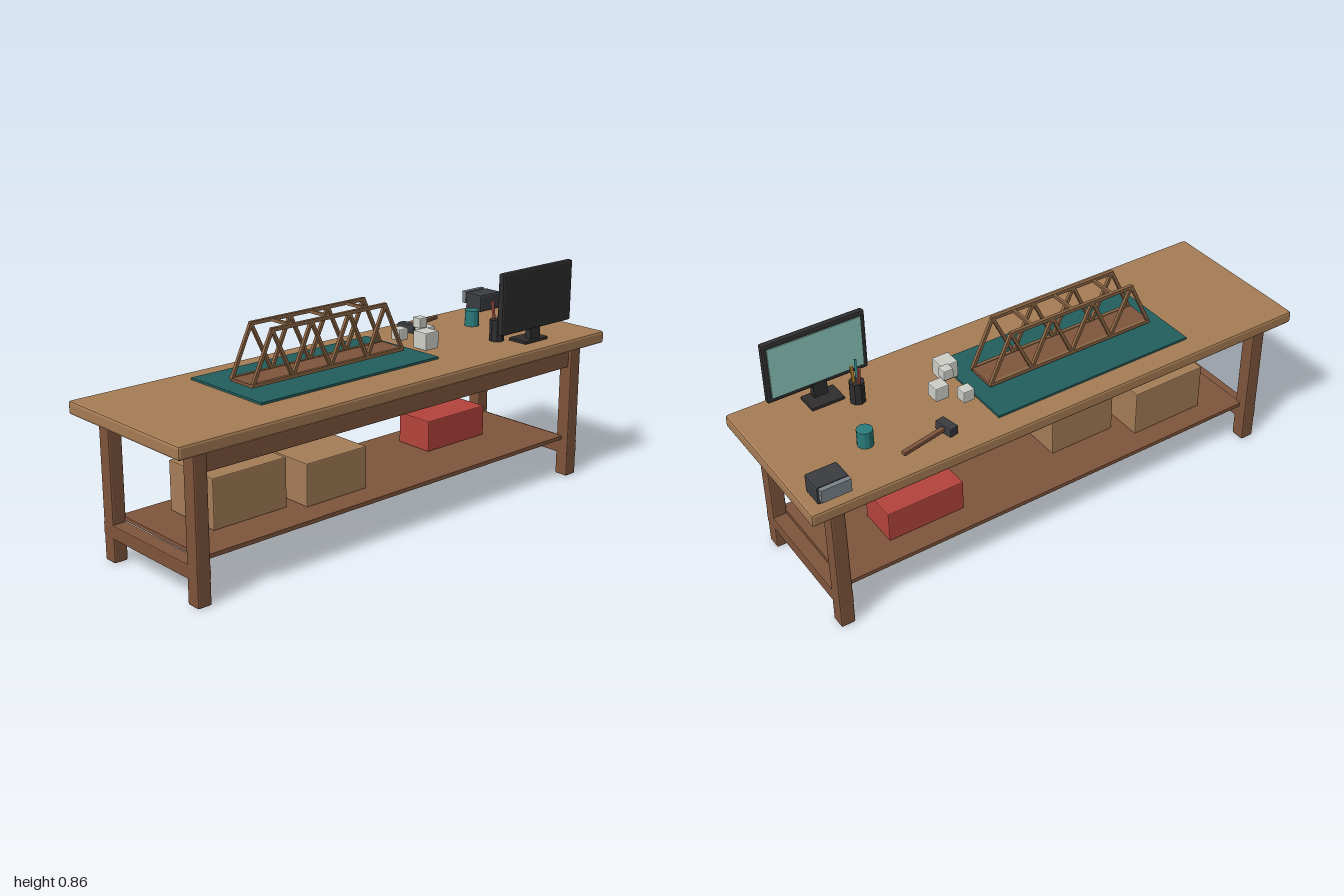
import * as THREE from 'three';
import { RoundedBoxGeometry } from 'three/addons/geometries/RoundedBoxGeometry.js';

const mat = (color) => new THREE.MeshStandardMaterial({ color, flatShading: true });
const M = {
  top: mat(0xa67c55), wood: mat(0x7f553c), mat: mat(0x235f5e), card: mat(0xa57d58),
  red: mat(0xb5443c), dark: mat(0x2f2d2d), charcoal: mat(0x3a3c40), screen: mat(0x8fc9bf),
  teal: mat(0x2a7c7c), white: mat(0xd0d0ca), truss: mat(0x8a6443), yellow: mat(0xc9922e),
  rust: mat(0xb0564a), grey: mat(0x7a8288),
};

export function createModel() {
  const model = new THREE.Group();
  model.name = 'workbench';

  function group(name) {
    const g = new THREE.Group();
    g.name = name;
    model.add(g);
    return g;
  }
  function add(parent, name, geometry, material) {
    const m = new THREE.Mesh(geometry, material);
    m.name = name;
    parent.add(m);
    return m;
  }
  // Box from its min and max corners, with an optional chamfer
  function box(parent, name, material, [x0, y0, z0], [x1, y1, z1], chamfer = 0) {
    const s = [x1 - x0, y1 - y0, z1 - z0];
    const geo = chamfer ? new RoundedBoxGeometry(...s, 1, chamfer) : new THREE.BoxGeometry(...s);
    const m = add(parent, name, geo, material);
    m.position.set((x0 + x1) / 2, (y0 + y1) / 2, (z0 + z1) / 2);
    return m;
  }
  // Square bar running between two points
  function bar(parent, name, material, a, b, t) {
    const p = new THREE.Vector3(...a), q = new THREE.Vector3(...b);
    const m = add(parent, name, new THREE.BoxGeometry(t, t, p.distanceTo(q) + t * 0.6), material);
    m.position.copy(p).add(q).multiplyScalar(0.5);
    m.lookAt(q);
    return m;
  }

  // Table
  const table = group('table');
  box(table, 'tableTop', M.top, [-1, 0.528, -0.31], [1, 0.576, 0.31], 0.009);
  for (const sx of [-1, 1]) {
    for (const sz of [-1, 1]) {
      const leg = box(table, 'leg', M.wood, [-0.027, 0, -0.028], [0.027, 0.53, 0.028], 0.006);
      leg.position.x = sx * 0.89;
      leg.position.z = sz * 0.238;
    }
    box(table, 'sideRail', M.wood, [sx * 0.89 - 0.0275, 0.09, -0.266], [sx * 0.89 + 0.0275, 0.141, 0.266], 0.004);
  }
  box(table, 'frontApron', M.wood, [-0.87, 0.444, 0.22], [0.87, 0.504, 0.252], 0.004);
  box(table, 'shelf', M.wood, [-0.868, 0.145, -0.235], [0.868, 0.16, 0.235]);

  // Boxes on the shelf
  const storage = group('storageBoxes');
  box(storage, 'largeCarton', M.card, [-0.72, 0.16, -0.154], [-0.41, 0.343, 0.092], 0.004);
  box(storage, 'smallCarton', M.card, [-0.36, 0.16, -0.075], [-0.085, 0.318, 0.14], 0.004);
  box(storage, 'redToolBox', M.red, [0.345, 0.16, -0.142], [0.648, 0.28, 0.017], 0.004);

  box(model, 'cuttingMat', M.mat, [-0.564, 0.575, -0.227], [0.249, 0.584, 0.158]);

  // Model truss bridge
  const bridge = group('trussBridge');
  const bottom = [-0.5, -0.328, -0.157, 0.014, 0.185];
  const upper = [-0.415, -0.243, -0.071, 0.1];
  const yLow = 0.6, yHigh = 0.778, t = 0.013;
  box(bridge, 'deck', M.wood, [-0.505, 0.592, -0.08], [0.19, 0.604, 0.032]);
  for (const z of [0.033, -0.081]) {
    bar(bridge, 'bottomChord', M.truss, [bottom[0], yLow, z], [bottom[4], yLow, z], t);
    bar(bridge, 'topChord', M.truss, [upper[0], yHigh, z], [upper[3], yHigh, z], t);
    upper.forEach((x, i) => {
      bar(bridge, 'diagonal', M.truss, [bottom[i], yLow, z], [x, yHigh, z], t * 0.9);
      bar(bridge, 'diagonal', M.truss, [bottom[i + 1], yLow, z], [x, yHigh, z], t * 0.9);
    });
  }
  for (const x of bottom.slice(1, 4)) {
    bar(bridge, 'crossStrut', M.truss, [x, yHigh, 0.033], [x, yHigh, -0.081], t * 0.85);
  }

  // Loose white blocks: x, y, z of the centre, size
  const blocks = group('blocks');
  for (const [x, y, z, s] of [
    [0.278, 0.625, 0.063, 0.066], [0.36, 0.617, -0.025, 0.054],
    [0.291, 0.613, -0.089, 0.045], [0.321, 0.667, -0.013, 0.039],
  ]) {
    const h = s / 2;
    box(blocks, 'block', M.white, [x - h, y - h, z - h], [x + h, y + h, z + h], 0.004);
  }

  // Monitor, its screen facing the back
  const monitor = group('monitor');
  box(monitor, 'casing', M.dark, [0.495, 0.628, 0.213], [0.88, 0.862, 0.238], 0.007);
  box(monitor, 'screen', M.screen, [0.513, 0.647, 0.209], [0.862, 0.844, 0.216]);
  box(monitor, 'stand', M.dark, [0.66, 0.58, 0.207], [0.713, 0.645, 0.232]);
  box(monitor, 'base', M.dark, [0.622, 0.576, 0.157], [0.748, 0.588, 0.243], 0.003);

  // Pencil cup
  const pencils = group('pencilCup');
  add(pencils, 'cup', new THREE.CylinderGeometry(0.028, 0.028, 0.082, 8), M.dark).position.set(0.59, 0.617, 0.126);
  [[-0.01, 0.143, 0.153, M.teal], [0.01, 0.126, 0.126, M.yellow], [0, 0.111, 0.1, M.rust]].forEach(([dx, z0, z1, material]) => {
    bar(pencils, 'pencil', material, [0.59 + dx, 0.65, z0], [0.59 + dx * 1.5, 0.722, z1], 0.0085);
  });

  // Mug
  add(model, 'mug', new THREE.CylinderGeometry(0.0285, 0.0285, 0.062, 12), M.teal).position.set(0.685, 0.607, -0.093);

  // Hammer lying on the bench
  const hammer = group('hammer');
  hammer.position.set(0.43, 0.594, -0.188);
  hammer.rotation.y = 0.2;
  box(hammer, 'hammerHead', M.charcoal, [-0.018, -0.017, -0.037], [0.018, 0.017, 0.037], 0.003);
  box(hammer, 'hammerHandle', M.wood, [0.01, -0.007, -0.009], [0.195, 0.008, 0.009], 0.003);

  // Small device with a plate behind it
  const device = group('device');
  box(device, 'deviceBody', M.charcoal, [0.843, 0.58, -0.279], [0.96, 0.65, -0.195], 0.008);
  box(device, 'devicePlate', M.grey, [0.848, 0.602, -0.301], [0.955, 0.651, -0.283]);

  return model;
}
